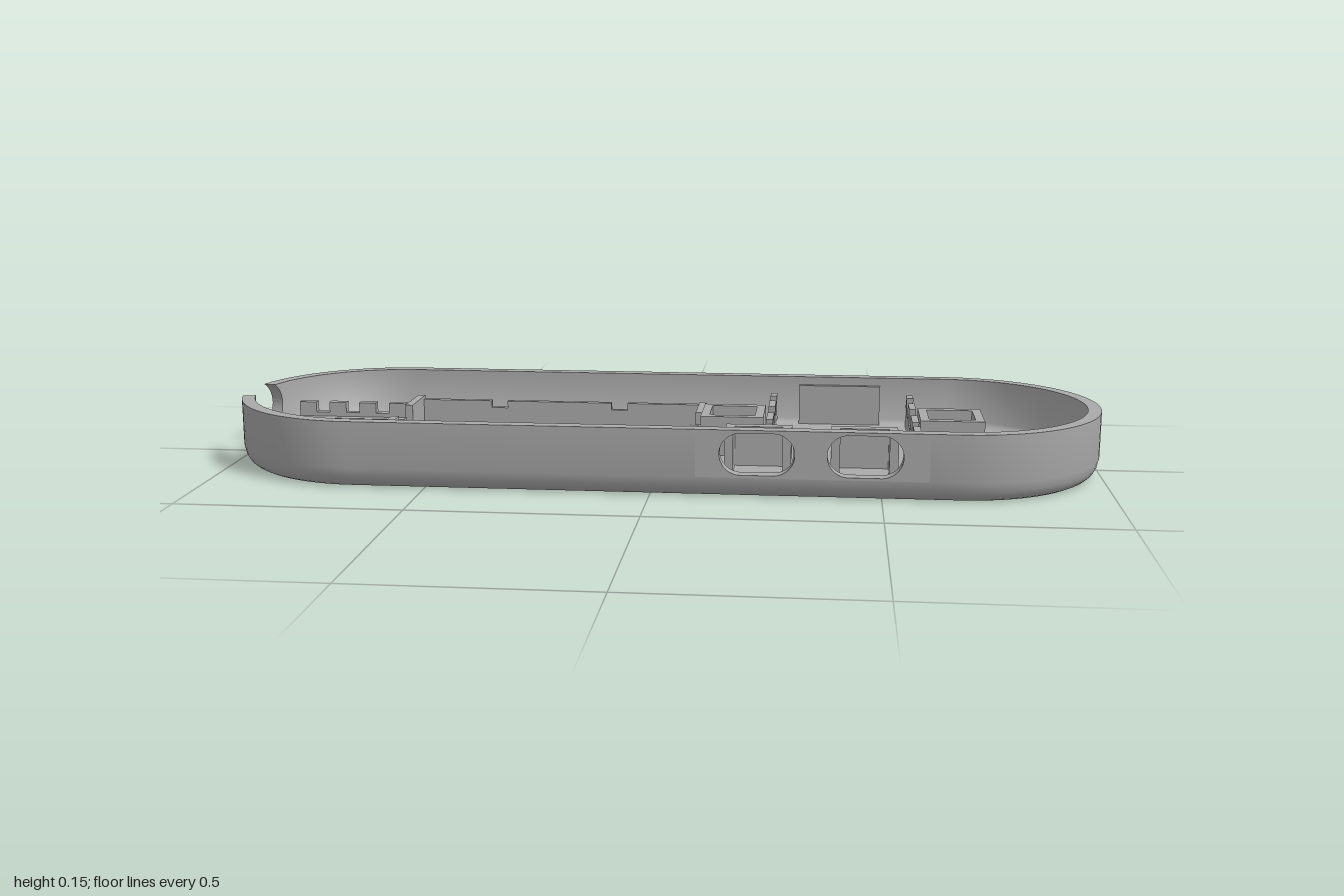
import * as THREE from 'three';
import { toCreasedNormals } from 'three/addons/utils/BufferGeometryUtils.js';

const END = 0.667, OUT = 0.333, IN = 0.303, TOP = 0.15, FLOOR = 0.03;
const SILL = 0.045; // wall height below the openings

export function createModel() {
  const model = new THREE.Group();
  const grey = new THREE.MeshStandardMaterial({ color: 0xa9a9a9 });
  grey.name = 'grey plastic';

  const add = (name, geometry) => {
    const mesh = new THREE.Mesh(geometry, grey);
    mesh.name = name;
    model.add(mesh);
    return mesh;
  };
  // Box given by its limits on each axis
  const block = (name, x0, x1, z0, z1, y1, y0 = FLOOR - 0.005) =>
    add(name, new THREE.BoxGeometry(x1 - x0, y1 - y0, z1 - z0))
      .position.set((x0 + x1) / 2, (y0 + y1) / 2, (z0 + z1) / 2);
  const stadium = (Type, halfLength, r, x = 0, y = 0) => {
    const p = new Type(), c = halfLength - r;
    p.absarc(x + c, y, r, -Math.PI / 2, Math.PI / 2);
    p.absarc(x - c, y, r, Math.PI / 2, Math.PI * 1.5);
    p.closePath();
    return p;
  };

  // Tray wall: one section swept round the stadium, each station with its own height
  const stations = []; // [centre x, angle, height]
  const N = 36;
  for (let i = 0; i <= N; i++) stations.push([END, Math.PI * i / N, TOP]);
  const mid = Math.PI * 1.5, notch = 0.105;
  for (let i = 0; i <= N; i++) {
    const t = Math.PI * (1 + i / N);
    if (Math.abs(t - mid) * OUT > notch + 0.005) stations.push([-END, t, TOP]);
    if (i === N / 2) {
      // Lower half of the rounded end notch
      const dip = [];
      for (let k = 0; k <= 8; k++) {
        const a = Math.PI / 2 * k / 8;
        dip.push([0.05 + 0.055 * Math.sin(a), 0.1 - 0.055 * Math.cos(a)]);
      }
      stations.push([-END, mid - notch / OUT, TOP]);
      for (let k = 8; k >= 0; k--) stations.push([-END, mid - dip[k][0] / OUT, dip[k][1]]);
      stations.push([-END, mid, SILL]);
      for (const [s, h] of dip) stations.push([-END, mid + s / OUT, h]);
      stations.push([-END, mid + notch / OUT, TOP]);
    }
  }
  for (const [x, h] of [[0.1, TOP], [0.1, SILL], [0.6, SILL], [0.6, TOP], [END, TOP]])
    stations.push([x, 0, h]);

  const pos = [], index = [];
  let count = 0;
  for (const [cx, t, h] of stations) {
    const section = [[0.303, 0], [0.313, 0.005], [0.322, 0.013], [0.329, 0.026], [OUT, SILL],
      [OUT, h], [IN, h], [IN, SILL], [0.297, 0.036], [0.285, FLOOR]];
    count = section.length;
    for (const [r, y] of section) pos.push(cx + r * Math.sin(t), y, r * Math.cos(t));
  }
  for (let i = 0; i < stations.length - 1; i++)
    for (let j = 0; j < count - 1; j++) {
      const a = i * count + j, b = a + count;
      index.push(a, b, a + 1, b, b + 1, a + 1);
    }
  const wall = new THREE.BufferGeometry();
  wall.setAttribute('position', new THREE.Float32BufferAttribute(pos, 3));
  wall.setIndex(index);
  add('trayWall', toCreasedNormals(wall.toNonIndexed(), 0.7));

  // Front wall panel with two button slots
  const panel = new THREE.Shape([[0.1, SILL], [0.6, SILL], [0.6, TOP], [0.1, TOP]]
    .map(([x, y]) => new THREE.Vector2(x, y)));
  for (const x of [0.232, 0.463]) panel.holes.push(stadium(THREE.Path, 0.081, 0.046, x, 0.097));
  const panelGeo = new THREE.ExtrudeGeometry(panel, { depth: OUT - IN, bevelEnabled: false, curveSegments: 16 });
  panelGeo.translate(0, 0, IN);
  add('buttonSlotPanel', panelGeo);

  // Hooked tips above the end notch, bent round the end
  for (const side of [-1, 1]) {
    const pts = [];
    for (let k = 0; k <= 8; k++) {
      const a = 1.14 * k / 8;
      pts.push(new THREE.Vector2(side * (0.05 + 0.055 * Math.cos(a)), 0.1 + 0.055 * Math.sin(a)));
    }
    pts[8].y = TOP;
    pts.push(new THREE.Vector2(side * notch, TOP));
    const geo = new THREE.ExtrudeGeometry(new THREE.Shape(pts), { depth: OUT - IN, bevelEnabled: false });
    const p = geo.attributes.position;
    for (let i = 0; i < p.count; i++) {
      const t = mid + p.getX(i) / OUT, r = IN + p.getZ(i);
      p.setXYZ(i, -END + r * Math.sin(t), p.getY(i), r * Math.cos(t));
    }
    geo.computeVertexNormals();
    add('notchHook', geo);
  }

  // Floor faces pierced by the screw holes
  const screws = [];
  for (const [x, z] of [[-0.636, 0.25], [0.03, 0.25], [0.663, 0.253]]) screws.push([x, z], [x, -z]);
  const floorFace = (name, r, holeR, y, turn) => {
    const s = stadium(THREE.Shape, END + r, r);
    for (const [x, z] of screws) s.holes.push(new THREE.Path().absarc(x, z, holeR, 0, Math.PI * 2, true));
    const g = new THREE.ShapeGeometry(s, 36);
    g.rotateX(turn);
    g.translate(0, y, 0);
    add(name, g);
  };
  floorFace('bottomFace', 0.303, 0.048, 0, Math.PI / 2);
  floorFace('innerFloor', 0.285, 0.03, FLOOR, -Math.PI / 2);

  // Screw bosses with countersunk holes
  const bossProfile = [[0.051, 0.027], [0.051, 0.07], [0.03, 0.07], [0.03, 0.018], [0.048, 0]]
    .map(([r, y]) => new THREE.Vector2(r, y));
  const bossGeo = toCreasedNormals(new THREE.LatheGeometry(bossProfile, 36).toNonIndexed(), 0.5);
  for (const [x, z] of screws) add('screwBoss', bossGeo).position.set(x, 0, z);
  // Flanges joining the bosses to the side walls
  for (const [x0, x1] of [[-0.68, -0.545], [-0.06, 0.12]])
    for (const s of [-1, 1]) block('bossFlange', x0, x1, s * 0.297 - 0.01, s * 0.297 + 0.01, 0.07);

  // Toothed rails beside the end notch
  for (const s of [-1, 1]) {
    const z = (a, b) => (s > 0 ? [a - 0.005, b - 0.005] : [-b, -a]);
    block('railLedge', -0.917, -0.65, ...z(0.088, 0.11), 0.065);
    block('railWall', -0.917, -0.65, ...z(0.11, 0.13), 0.075);
    for (let i = 0; i < 4; i++)
      block('railTooth', -0.917 + i * 0.075, -0.875 + i * 0.075, ...z(0.11, 0.13), 0.1);
  }

  // Battery bay
  for (const s of [-1, 1]) {
    const z0 = s * 0.19 - 0.0075, z1 = z0 + 0.015;
    block('batterySideWall', -0.64, 0.085, z0, z1, 0.08);
    for (const [x0, x1] of [[-0.64, -0.45], [-0.41, -0.15], [-0.11, 0.085]])
      block('batterySideRaised', x0, x1, z0, z1, 0.097);
    block('batteryCorner', -0.64, -0.622, s > 0 ? 0.058 : -0.197, s > 0 ? 0.197 : -0.07, 0.105);
    block('batteryEndTab', 0.067, 0.085, s > 0 ? 0.06 : -0.197, s > 0 ? 0.197 : -0.08, 0.1);
  }
  block('batteryEndWall', 0.067, 0.085, -0.197, 0.197, 0.07);

  // Circuit board bay: toothed dividers, back plate and front stops
  for (const x of [0.24, 0.575]) {
    block('boardDivider', x, x + 0.016, -0.29, 0.128, 0.07);
    for (const [z0, z1] of [[-0.29, -0.25], [-0.19, -0.12], [-0.05, 0.03], [0.07, 0.128]])
      block('dividerTooth', x, x + 0.016, z0, z1, 0.11);
  }
  block('boardBackPlate', 0.31, 0.51, -0.308, -0.29, 0.13);
  for (const [x0, x1] of [[0.305, 0.36], [0.475, 0.51]]) block('boardStop', x0, x1, 0.124, 0.134, 0.08);

  // Square posts, each with a doorway at the back
  for (const x of [0.09, 0.592]) {
    const x1 = x + 0.145, w = 0.02, z0 = -0.078, z1 = 0.067, h = 0.122;
    block('postSide', x, x + w, z0, z1, h);
    block('postSide', x1 - w, x1, z0, z1, h);
    block('postFront', x + w, x1 - w, z1 - w, z1, h);
    block('postLintel', x + w, x1 - w, z0, z0 + w, h, 0.085);
    block('postJamb', x + w, x + w + 0.02, z0, z0 + w, 0.085);
    block('postJamb', x1 - w - 0.02, x1 - w, z0, z0 + w, 0.085);
  }

  // U-shaped button brackets behind the slots
  for (const x of [0.155, 0.39]) {
    block('bracketBack', x, x + 0.148, 0.132, 0.157, 0.12);
    for (const a of [x, x + 0.128]) block('bracketArm', a, a + 0.02, 0.157, 0.222, 0.12);
  }
  return model;
}
